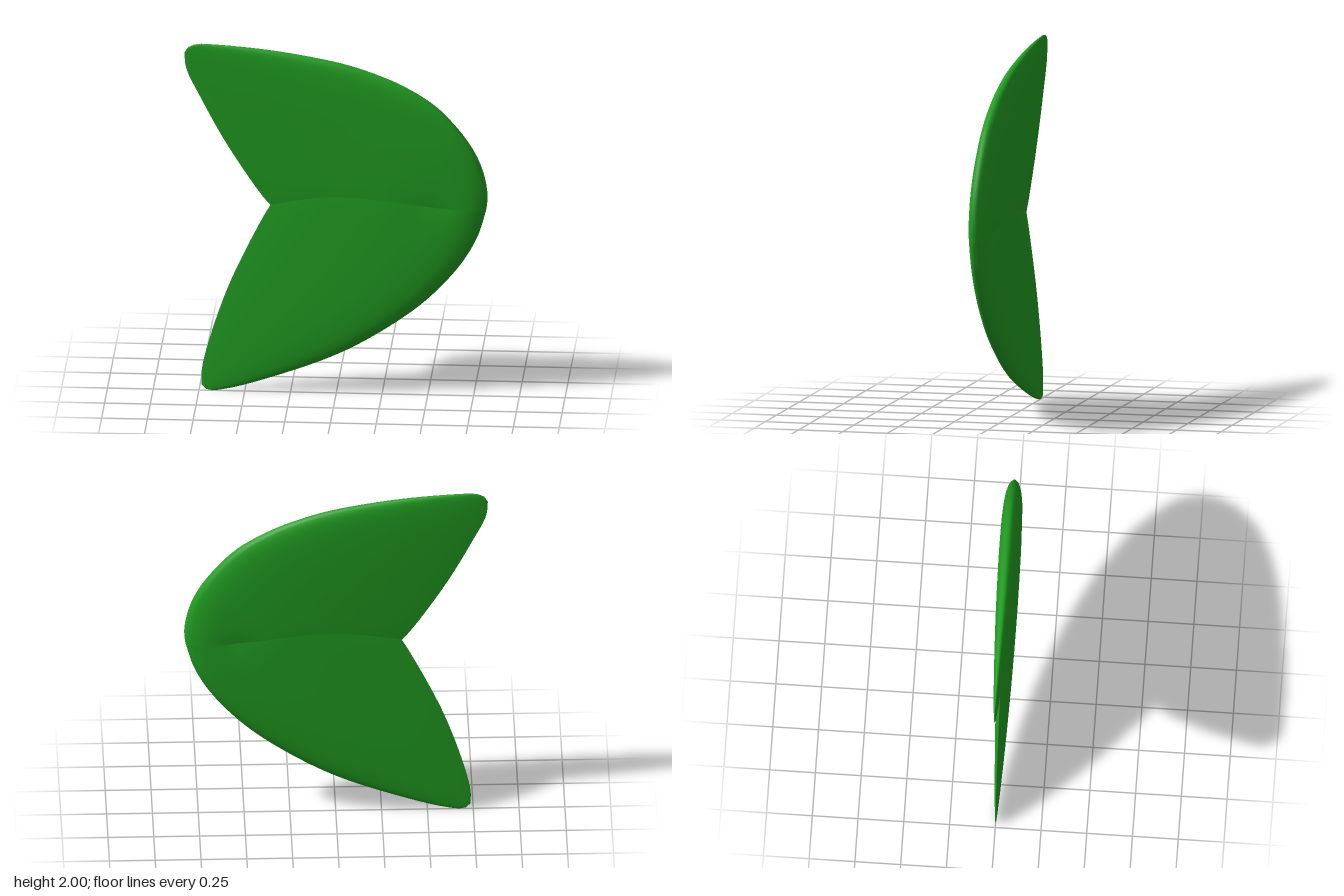
import * as THREE from 'three';

// Chord profile: blunt leading edge (t = 0) thinning to a sharp trailing edge (t = 1)
const PROFILE = [[0, 0], [0.012, 0.36], [0.03, 0.57], [0.06, 0.76], [0.1, 0.89], [0.16, 0.97],
  [0.24, 1], [0.34, 0.98], [0.46, 0.89], [0.6, 0.73], [0.75, 0.51], [0.88, 0.28], [1, 0.02]];

const UPPER = {
  outer: [[-0.83, 1.95], [-0.805, 1.985], [-0.76, 2], [-0.68, 2], [-0.42, 1.98], [-0.2, 1.95], [0.05, 1.9],
    [0.22, 1.845], [0.36, 1.785], [0.53, 1.68], [0.65, 1.56], [0.75, 1.42], [0.805, 1.29], [0.827, 1.16], [0.82, 1.08]],
  inner: [[-0.83, 1.95], [-0.82, 1.86], [-0.74, 1.69], [-0.6, 1.43], [-0.41, 1.14], [-0.36, 1.08]],
};
const LOWER = {
  outer: [[-0.735, 0.035], [-0.7, 0.005], [-0.6, 0.015], [-0.36, 0.085], [-0.02, 0.215], [0.2, 0.335],
    [0.44, 0.505], [0.59, 0.65], [0.7, 0.79], [0.775, 0.93], [0.82, 1.08]],
  inner: [[-0.735, 0.035], [-0.735, 0.12], [-0.69, 0.31], [-0.58, 0.63], [-0.41, 0.99], [-0.36, 1.08]],
};

const curve = pts => new THREE.CatmullRomCurve3(pts.map(([x, y]) => new THREE.Vector3(x, y, 0)));

// One lobe: lens-like sections swept from the tip (u = 0) to the shared root line (u = 1)
function lobeGeometry({ outer, inner }, flip) {
  const lead = curve(outer), trail = curve(inner);
  const steps = 56, pos = [], index = [];
  const ring = [
    ...PROFILE.map(([t, h]) => [t, h]),
    ...PROFILE.slice(1).reverse().map(([t, h]) => [t, -h]),
  ];
  const n = ring.length;
  for (let i = 0; i <= steps; i++) {
    const u = i / steps;
    const a = lead.getPointAt(u), b = trail.getPointAt(u);
    const half = 0.055 * Math.pow(Math.sin(u * Math.PI / 2), 0.8);
    const nearRoot = Math.exp(-(1 - u) / 0.05);
    for (const [t, h] of ring) {
      // shallow crease along the root with a small pinch near the leading edge
      const crease = 0.06 * THREE.MathUtils.smoothstep(t, 0.1, 0.25);
      const pinch = 0.25 * Math.exp(-(((t - 0.24) / 0.06) ** 2));
      const bow = 0.065 * Math.sin(Math.PI * t * t * (1.6 - 0.6 * t)) * u ** 4;
      pos.push(
        a.x + (b.x - a.x) * t,
        a.y + (b.y - a.y) * t + bow,
        h * half * (1 - (crease + pinch) * nearRoot));
    }
  }
  for (let i = 0; i < steps; i++) {
    for (let j = 0; j < n; j++) {
      if (j === PROFILE.length - 1) { /* closes the thin trailing edge */ }
      const k = (j + 1) % n;
      const a = i * n + j, b = i * n + k, c = a + n, d = b + n;
      if (flip) index.push(a, c, b, b, c, d);
      else index.push(a, b, c, b, d, c);
    }
  }
  const g = new THREE.BufferGeometry();
  g.setAttribute('position', new THREE.Float32BufferAttribute(pos, 3));
  g.setIndex(index);
  g.computeVertexNormals();
  return g;
}

export function createModel() {
  const green = new THREE.MeshStandardMaterial({ color: 0x22a022 });
  green.name = 'leafGreen';
  const group = new THREE.Group();
  group.name = 'tailFin';
  const addLobe = (name, shape, flip) => {
    const mesh = new THREE.Mesh(lobeGeometry(shape, flip), green);
    mesh.name = name;
    group.add(mesh);
  };
  addLobe('upperLobe', UPPER, false);
  addLobe('lowerLobe', LOWER, true);
  return group;
}
